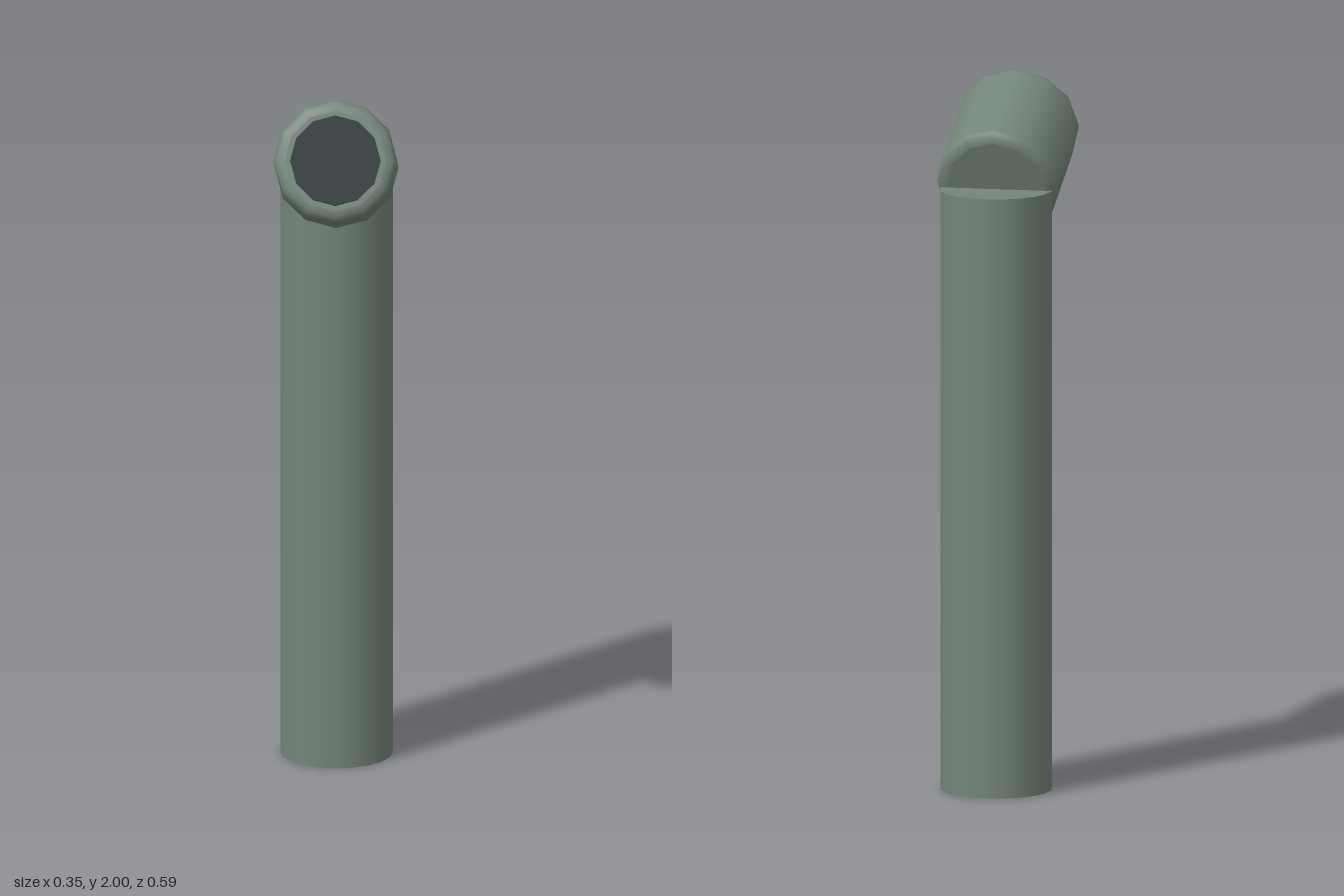
import * as THREE from 'three';

export function createModel() {
  const model = new THREE.Group();
  model.name = 'bollardSpotlight';
  const paint = new THREE.MeshStandardMaterial({ color: 0x738579 });
  paint.name = 'greyGreenPaint';
  const glass = new THREE.MeshStandardMaterial({ color: 0x263133 });
  glass.name = 'darkGlass';

  const add = (parent, name, geometry, material, y, z) => {
    const mesh = new THREE.Mesh(geometry, material);
    mesh.name = name;
    mesh.position.set(0, y, z);
    parent.add(mesh);
    return mesh;
  };

  // Upright round post
  add(model, 'post', new THREE.CylinderGeometry(0.158, 0.158, 1.71, 20), paint, 0.855, -0.135);

  // Lamp head, its local y axis tilted to point forward and slightly up
  const head = new THREE.Group();
  head.name = 'lampHead';
  head.position.set(0, 1.78, 0.047);
  head.rotation.x = THREE.MathUtils.degToRad(70);
  model.add(head);

  // Housing: twelve-sided barrel with rounded rims
  const radius = 0.174, half = 0.191, bevel = 0.03, steps = 3;
  const rim = [];
  for (let i = 0; i <= steps; i++) {
    const a = (i / steps) * Math.PI / 2;
    rim.push([radius - bevel + bevel * Math.sin(a), half - bevel + bevel * Math.cos(a)]);
  }
  const top = [[0, half], [radius - bevel - 0.004, half], ...rim];
  const profile = [
    ...top.map(([r, y]) => new THREE.Vector2(r, -y)),
    ...top.slice().reverse().map(([r, y]) => new THREE.Vector2(r, y)),
  ];
  add(head, 'housing', new THREE.LatheGeometry(profile, 12), paint, 0, 0);

  // Lens disc, standing just clear of the front rim
  add(head, 'lens', new THREE.CylinderGeometry(0.127, 0.127, 0.016, 12), glass, 0.207, 0);

  return model;
}
